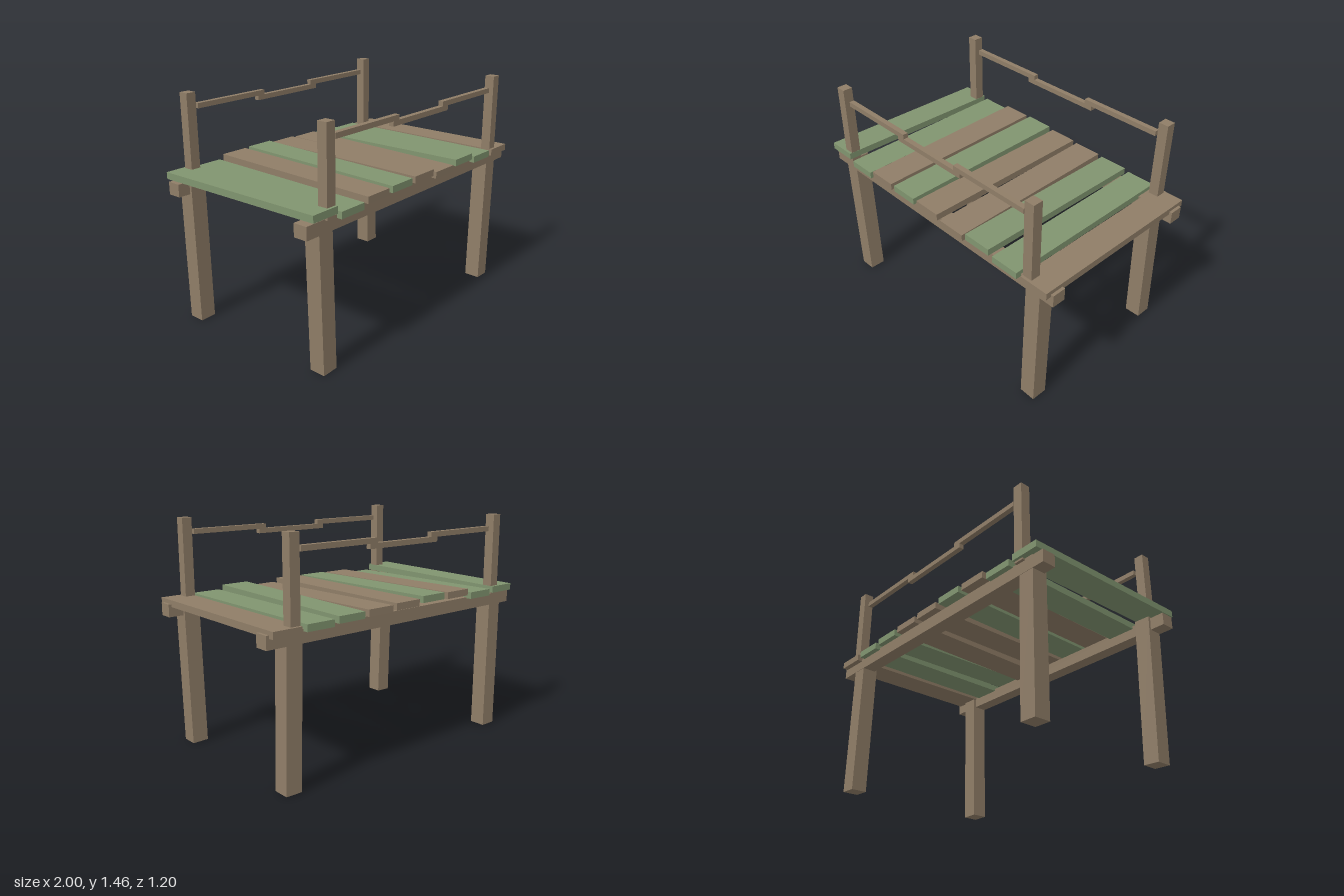
import * as THREE from 'three';

export function createModel() {
  const model = new THREE.Group();
  model.name = 'plankPlatform';

  const wood = new THREE.MeshStandardMaterial({ color: 0x8f7d67 });
  wood.name = 'weatheredWood';
  const green = new THREE.MeshStandardMaterial({ color: 0x80946f });
  green.name = 'mossyGreen';

  // Box from its x and y extents, with a z centre and depth
  function box(name, x0, x1, y0, y1, z, depth, material = wood) {
    const mesh = new THREE.Mesh(new THREE.BoxGeometry(x1 - x0, y1 - y0, depth), material);
    mesh.position.set((x0 + x1) / 2, (y0 + y1) / 2, z);
    mesh.name = name;
    model.add(mesh);
    return mesh;
  }

  // Slightly crooked legs: name, x at the top, x at the foot, side in z
  const legHeight = 0.945;
  const legs = [
    ['frontRightLeg', -0.852, -0.825, 1],
    ['backRightLeg', -0.866, -0.858, -1],
    ['frontLeftLeg', 0.85, 0.831, 1],
    ['backLeftLeg', 0.814, 0.835, -1],
  ];
  for (const [name, top, foot, side] of legs) {
    const mid = (top + foot) / 2;
    const leg = box(name, mid - 0.053, mid + 0.053, 0, legHeight, side * 0.511, 0.104);
    leg.rotation.z = Math.atan2(foot - top, legHeight);
  }

  // Each long side: bearer beam, two posts and a stepped handrail
  for (const side of [1, -1]) {
    const label = side > 0 ? 'front' : 'back';
    box(label + 'Beam', -1, 1, 0.855, 0.935, side * 0.52, 0.09);
    box(label + 'RightPost', -0.86, -0.795, 0.93, 1.455, side * 0.551, 0.064);
    box(label + 'LeftPost', 0.79, 0.855, 0.93, 1.455, side * 0.551, 0.064);
    box(label + 'RailRight', -0.77, -0.223, 1.348, 1.38, side * 0.548, 0.033);
    box(label + 'RailMiddle', -0.277, 0.275, 1.318, 1.35, side * 0.548, 0.033);
    box(label + 'RailLeft', 0.22, 0.768, 1.348, 1.38, side * 0.548, 0.033);
  }

  // Uneven deck planks: x start, top height at the front, top height at the back, colour
  const plankLength = 1.2;
  const planks = [
    [-0.985, 1.0, 0.985, green],
    [-0.765, 0.958, 0.972, green],
    [-0.542, 0.982, 1.0, wood],
    [-0.32, 0.986, 1.004, green],
    [-0.098, 0.988, 0.99, wood],
    [0.123, 0.962, 0.983, wood],
    [0.345, 0.99, 0.977, green],
    [0.567, 0.962, 0.965, green],
    [0.79, 0.961, 0.959, wood],
  ];
  planks.forEach(([x, front, back, material], i) => {
    const top = (front + back) / 2;
    const plank = box('plank' + (i + 1), x, x + 0.191, top - 0.043, top, 0, plankLength, material);
    plank.rotation.x = Math.atan2(back - front, plankLength);
  });

  return model;
}
